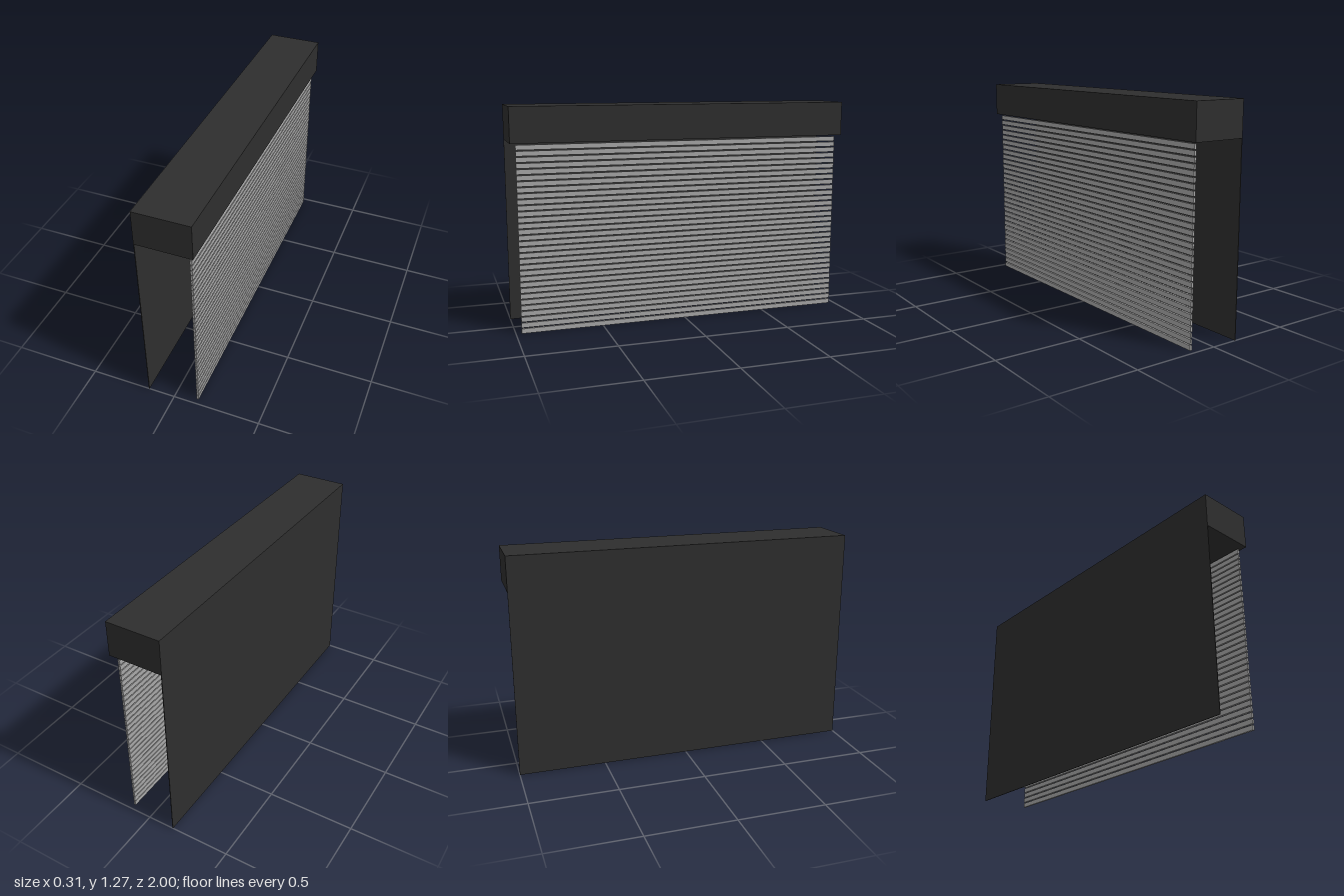
import * as THREE from 'three';

export function createModel() {
  const model = new THREE.Group();
  model.name = 'rollerShutter';

  const charcoal = new THREE.MeshStandardMaterial({ color: 0x2e2e2e });
  charcoal.name = 'charcoal';
  const slatGrey = new THREE.MeshStandardMaterial({ color: 0xa8a8a8 });
  slatGrey.name = 'slatGrey';

  function addBox(parent, name, material, size, position) {
    const mesh = new THREE.Mesh(new THREE.BoxGeometry(...size), material);
    mesh.name = name;
    mesh.position.set(...position);
    parent.add(mesh);
  }

  // Roll housing along the top
  addBox(model, 'housing', charcoal, [0.314, 0.2, 2], [0, 1.17, 0]);

  // Thin full-width panel behind the curtain
  addBox(model, 'backPanel', charcoal, [0.004, 1.07, 2], [-0.155, 0.535, 0]);

  // Curtain of evenly spaced horizontal slats
  const curtain = new THREE.Group();
  curtain.name = 'curtain';
  const count = 32;
  const pitch = 1.0667 / count;
  const slatHeight = 0.027;
  for (let i = 0; i < count; i++) {
    addBox(curtain, 'slat', slatGrey, [0.012, slatHeight, 1.936], [0.129, i * pitch + slatHeight / 2, 0]);
  }
  model.add(curtain);

  return model;
}
